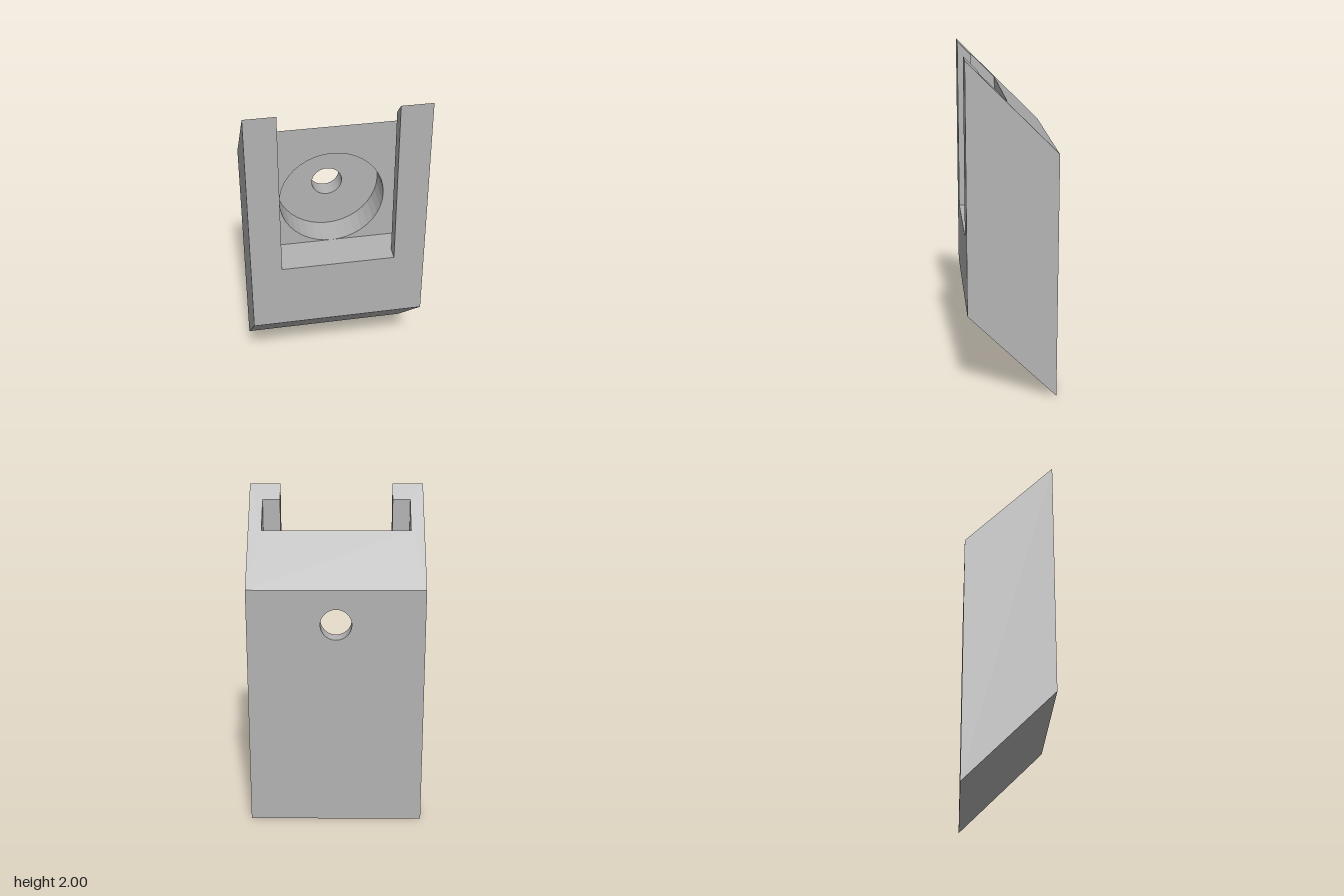
import * as THREE from 'three';

const W = 0.525, F = 0.2625;            // half width, half depth
const TOP = 1.7375, BASE = 0.2625;      // sloped ends: y = level + z
const SLOT = 0.34, WIDE = 0.445;        // half widths of the T-shaped slot
const LIP = 0.18, FLOOR = 0.025, SILL = 0.95;
const HOLE_Y = 1.265, HOLE = 0.093, BORE = 0.315, BORE_Z = -0.155;
const SIDES = 40;

const top = z => TOP + z;
const base = z => BASE + z;
const sill = () => SILL;

export function createModel() {
  const model = new THREE.Group();
  model.name = 'slottedBracket';
  const grey = new THREE.MeshStandardMaterial({ color: 0xb3b3b3 });
  grey.name = 'grey';

  const add = (name, geometry) => {
    const g = geometry.index ? geometry.toNonIndexed() : geometry;
    g.computeVertexNormals();
    const mesh = new THREE.Mesh(g, grey);
    mesh.name = name;
    model.add(mesh);
  };
  const polygon = pts => new THREE.Shape(pts.map(p => new THREE.Vector2(...p)));
  const rect = (x0, y0, x1, y1) => polygon([[x0, y0], [x1, y0], [x1, y1], [x0, y1]]);
  const circle = (path, r) => path.absarc(0, HOLE_Y, r, 0, Math.PI * 2, false);
  const pierce = (shape, r) => {
    shape.holes.push(circle(new THREE.Path(), r));
    return shape;
  };

  // Upright face at depth z, looking forward or backward
  const upright = (name, shape, z, backward = false) => {
    const g = new THREE.ShapeGeometry(shape, SIDES / 2);
    if (backward) g.scale(-1, 1, -1);
    add(name, g.translate(0, 0, z));
  };

  // Face drawn in plan (x, z) and lifted to a height rule
  const planFace = (name, pts, height, downward = false) => {
    const g = new THREE.ShapeGeometry(polygon(pts.map(([x, z]) => [x, -z])));
    g.rotateX(-Math.PI / 2);
    const p = g.attributes.position;
    for (let i = 0; i < p.count; i++) p.setY(i, height(p.getZ(i)));
    if (downward) g.index.array.reverse();
    add(name, g);
  };

  // Walls standing on a plan path, from one height rule to another
  const walls = (name, path, lo, hi) => {
    const v = [];
    for (let i = 0; i + 1 < path.length; i++) {
      const [x1, z1] = path[i], [x2, z2] = path[i + 1];
      const a = [x1, lo(z1), z1], b = [x2, lo(z2), z2];
      const c = [x2, hi(z2), z2], d = [x1, hi(z1), z1];
      v.push(...a, ...b, ...c, ...a, ...c, ...d);
    }
    const g = new THREE.BufferGeometry();
    g.setAttribute('position', new THREE.Float32BufferAttribute(v, 3));
    add(name, g);
  };

  // Inward-facing round wall between two depths
  const bore = (name, r, z0, z1) => {
    const g = new THREE.CylinderGeometry(r, r, z1 - z0, SIDES, 1, true);
    g.rotateX(Math.PI / 2).scale(-1, 1, 1);
    add(name, g.translate(0, HOLE_Y, (z0 + z1) / 2));
  };

  // Outer block
  upright('frontFace', polygon([
    [-W, base(F)], [W, base(F)], [W, top(F)], [SLOT, top(F)],
    [SLOT, SILL], [-SLOT, SILL], [-SLOT, top(F)], [-W, top(F)],
  ]), F);
  upright('backFace', pierce(rect(-W, base(-F), W, top(-F)), HOLE), -F, true);
  walls('rightSide', [[-W, -F], [-W, F]], base, top);
  walls('leftSide', [[W, F], [W, -F]], base, top);
  planFace('slopedBase', [[-W, -F], [W, -F], [W, F], [-W, F]], base, true);

  // T-shaped slot, open at the front and top
  const rightSlot = [[-SLOT, F], [-SLOT, LIP], [-WIDE, LIP], [-WIDE, FLOOR]];
  const leftSlot = rightSlot.map(([x, z]) => [-x, z]).reverse();
  const slot = [...rightSlot, ...leftSlot];
  walls('rightRail', rightSlot, sill, top);
  walls('leftRail', leftSlot, sill, top);
  planFace('slotSill', slot, sill);
  planFace('slopedTop', [[-W, -F], [-W, F], ...slot, [W, F], [W, -F]], top);
  upright('slotBack', pierce(rect(-WIDE, SILL, WIDE, top(FLOOR)), BORE), FLOOR);

  // Round recess and through hole
  bore('recessWall', BORE, BORE_Z, FLOOR);
  upright('recessFloor', pierce(circle(new THREE.Shape(), BORE), HOLE), BORE_Z);
  bore('throughHole', HOLE, -F, BORE_Z);

  return model;
}
